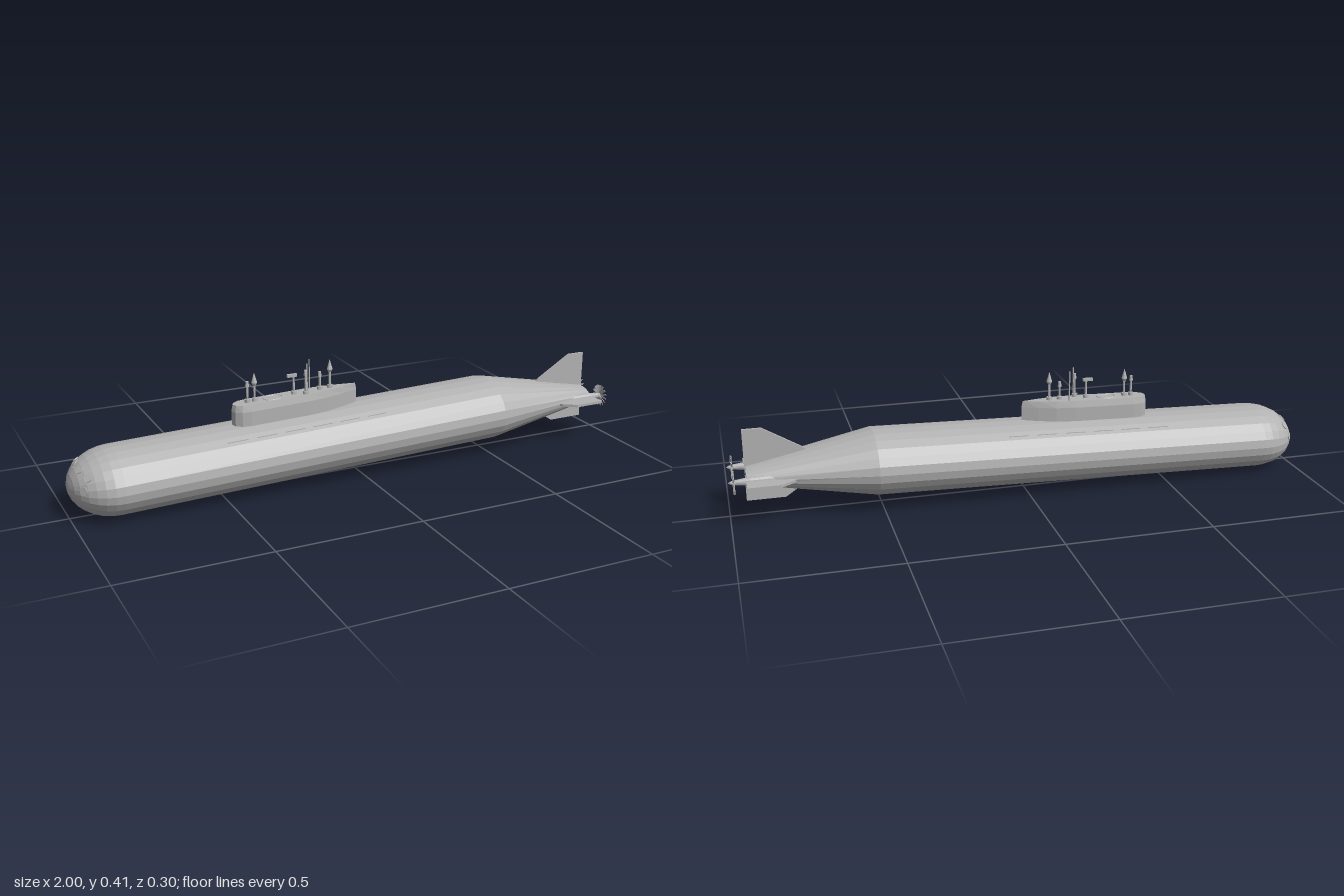
import * as THREE from 'three';

const grey = new THREE.MeshStandardMaterial({ color: 0xb2b2b2, flatShading: true });
grey.name = 'hull grey';

const SLOPE = 0.0292; // the boat is trimmed slightly bow-down
const axisY = x => 0.151 + SLOPE * (x - 0.52);

// Closed skin through equal-sized rings, capped at both ends
function loft(rings) {
  const n = rings[0].length, pos = [], idx = [];
  rings.forEach(r => r.forEach(p => pos.push(...p)));
  for (let i = 0; i < rings.length - 1; i++) {
    for (let j = 0; j < n; j++) {
      const a = i * n + j, b = i * n + (j + 1) % n;
      idx.push(a, b, a + n, b, b + n, a + n);
    }
  }
  [0, rings.length - 1].forEach((k, end) => {
    const c = pos.length / 3;
    pos.push(...[0, 1, 2].map(d => rings[k].reduce((s, p) => s + p[d], 0) / n));
    for (let j = 0; j < n; j++) {
      const a = k * n + j, b = k * n + (j + 1) % n;
      end ? idx.push(c, a, b) : idx.push(c, b, a);
    }
  });
  const g = new THREE.BufferGeometry();
  g.setAttribute('position', new THREE.Float32BufferAttribute(pos, 3));
  g.setIndex(idx);
  g.computeVertexNormals();
  return g;
}

// Flat plate in the xy plane, centred on its thickness
function plate(points, t) {
  const s = new THREE.Shape(points.map(p => new THREE.Vector2(...p)));
  return new THREE.ExtrudeGeometry(s, { depth: t, bevelEnabled: false }).translate(0, 0, -t / 2);
}

export function createModel() {
  const model = new THREE.Group();
  model.name = 'submarine';
  const add = (name, geo, x = 0, y = 0, z = 0, parent = model) => {
    const m = new THREE.Mesh(geo, grey);
    m.name = name;
    m.position.set(x, y, z);
    parent.add(m);
    return m;
  };

  // Hull: rounded bow, long oval body, tapering stern
  const ring = (x, cy, h, w) => Array.from({ length: 24 }, (_, j) => {
    const a = j / 24 * Math.PI * 2;
    return [x, cy + h * Math.cos(a), w * Math.sin(a)];
  });
  const H = 0.109, W = 0.152, sections = [];
  for (let i = 0; i <= 8; i++) {
    const t = Math.max(i / 8, 0.02) * Math.PI / 2, x = -0.85 - 0.15 * Math.cos(t);
    sections.push(ring(x, axisY(x), H * Math.sin(t), W * Math.sin(t)));
  }
  sections.push(ring(0.52, axisY(0.52), H, W), ring(0.94, 0.146, 0.028, 0.07));
  add('hull', loft(sections));

  // Torpedo tube doors on the bow
  for (const s of [-1, 1]) {
    for (const [v, u] of [[0.62, 0.22], [0.5, 0.55], [0.15, 0.6]]) {
      const c = Math.sqrt(1 - u * u - v * v), x = -0.85 - 0.15 * c;
      const door = add('torpedoDoor', new THREE.CylinderGeometry(0.014, 0.014, 0.003, 12),
        x, axisY(x) + H * v, s * W * u);
      const n = new THREE.Vector3(-c / 0.15, v / H, s * u / W).normalize();
      door.quaternion.setFromUnitVectors(new THREE.Vector3(0, 1, 0), n);
    }
  }

  // Seams along the upper casing
  for (const s of [-1, 1]) {
    for (let i = 0; i < 6; i++) {
      const x = -0.46 + i * 0.1;
      add('casingSeam', new THREE.BoxGeometry(0.07, 0.002, 0.002), x, axisY(x) + 0.085, s * 0.094)
        .rotation.z = SLOPE;
    }
  }

  // Sail: rounded nose, pointed tail, chamfered upper edge
  const side = [[-0.05, 0.017], [-0.11, 0.031], [-0.18, 0.037], [-0.39, 0.037],
    [-0.42, 0.032], [-0.44, 0.018]];
  const plan = [[0.006, 0], ...side.map(([x, z]) => [x, -z]), [-0.447, 0], ...[...side].reverse()];
  const level = (y, k, kx) => plan.map(([x, z]) => [-0.22 + (x + 0.22) * kx, y + SLOPE * x, z * k]);
  add('sail', loft([level(0.19, 1, 1), level(0.29, 1, 1), level(0.313, 0.87, 0.98)]));

  // Bridge cockpit rim
  const deck = x => 0.313 + SLOPE * x;
  const rim = add('bridgeRim', new THREE.TorusGeometry(0.026, 0.003, 6, 24).rotateX(Math.PI / 2),
    -0.3, deck(-0.3), 0);
  rim.scale.set(1.25, 1, 0.9);
  rim.rotation.z = SLOPE;

  // Masts: x, z, top, radius, head type
  const masts = [
    [-0.39, 0, 0.373, 0.004, 'ball'], [-0.365, 0, 0.4, 0.004, 'cone'],
    [-0.225, 0, 0.375, 0.004, 'radar'], [-0.19, 0.02, 0.39, 0.004, 'ball'],
    [-0.158, -0.024, 0.412, 0.0025, ''], [-0.185, 0.02, 0.412, 0.0025, ''],
    [-0.13, 0, 0.372, 0.004, 'ball'], [-0.093, 0, 0.41, 0.005, 'cone'],
  ];
  for (const [x, z, top, r, head] of masts) {
    const g = new THREE.Group();
    g.name = 'mast';
    g.position.set(x, 0, z);
    model.add(g);
    const y0 = deck(x) - 0.01, tip = head === 'cone' ? top - 0.035 : top;
    add('mastPole', new THREE.CylinderGeometry(r, r, tip - y0, 8), 0, (tip + y0) / 2, 0, g);
    if (head) add('mastBase', new THREE.CylinderGeometry(0.009, 0.01, 0.022, 10), 0, y0 + 0.009, 0, g);
    if (head === 'cone') {
      add('mastCone', new THREE.ConeGeometry(0.01, 0.035, 10), 0, top - 0.0175, 0, g);
      add('mastCollar', new THREE.CylinderGeometry(0.01, 0.005, 0.01, 10), 0, tip - 0.005, 0, g);
    }
    if (head === 'ball') add('mastHead', new THREE.CylinderGeometry(0.005, 0.007, 0.018, 8), 0, top - 0.009, 0, g);
    if (head === 'radar') add('radarBar', new THREE.BoxGeometry(0.034, 0.01, 0.01), -0.006, top - 0.004, 0, g);
  }

  // Upper and lower rudders
  add('upperRudder', plate([[0.73, 0.15], [0.73, 0.205], [0.75, 0.222], [0.88, 0.3],
    [0.943, 0.3], [0.943, 0.15]], 0.009));
  add('lowerRudder', plate([[0.76, 0.14], [0.76, 0.09], [0.815, 0.053], [0.943, 0.053],
    [0.943, 0.14]], 0.009));

  for (const s of [-1, 1]) {
    // Stern planes
    add('sternPlane', plate([[0.76, s * 0.06], [0.79, s * 0.108], [0.835, s * 0.139],
      [0.943, s * 0.139], [0.943, s * 0.05]], 0.009).rotateX(Math.PI / 2), 0, 0.146, 0);

    // Shaft fairings
    const fairing = [[0, 0.66], [0.012, 0.74], [0.017, 0.86], [0.015, 0.93], [0.009, 0.975], [0, 0.975]];
    add('shaftFairing', new THREE.LatheGeometry(fairing.map(p => new THREE.Vector2(...p)), 12)
      .rotateZ(-Math.PI / 2), 0, 0.147, s * 0.071);

    // Propellers with narrow pitched blades
    const prop = new THREE.Group();
    prop.name = 'propeller';
    prop.position.set(0.982, 0.147, s * 0.071);
    model.add(prop);
    add('propellerHub', new THREE.CylinderGeometry(0.006, 0.01, 0.018, 12).rotateZ(-Math.PI / 2), 0, 0, 0, prop);
    add('propellerCap', new THREE.ConeGeometry(0.006, 0.009, 12).rotateZ(-Math.PI / 2), 0.0135, 0, 0, prop);
    for (let i = 0; i < 15; i++) {
      const blade = new THREE.BoxGeometry(0.002, 0.032, 0.008).rotateY(s * 0.6).translate(0, 0.023, 0);
      add('propellerBlade', blade, 0, 0, 0, prop).rotation.x = i / 15 * Math.PI * 2;
    }
  }
  return model;
}
